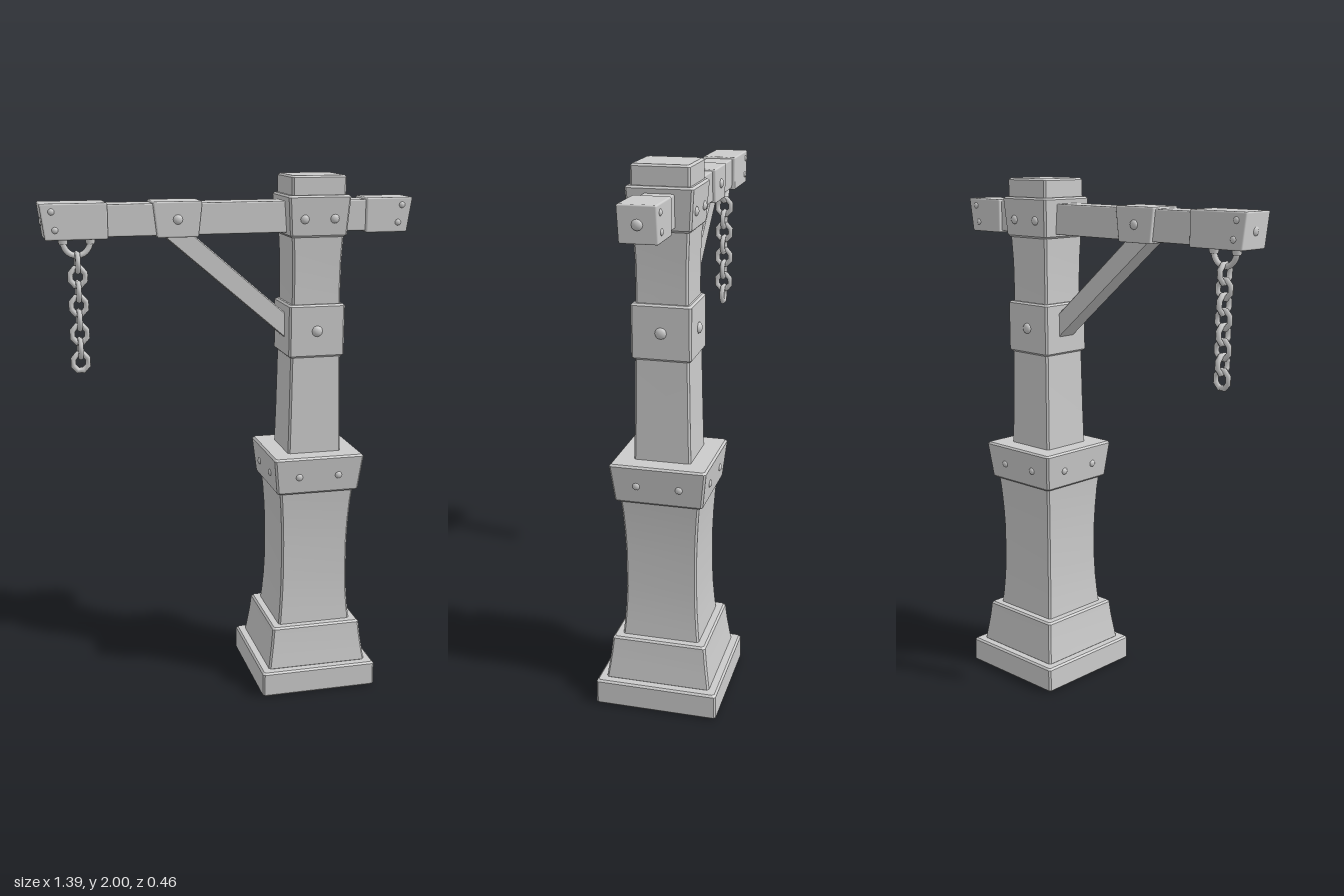
import * as THREE from 'three';
import { toCreasedNormals } from 'three/addons/utils/BufferGeometryUtils.js';
import { RoundedBoxGeometry } from 'three/addons/geometries/RoundedBoxGeometry.js';

const POST_X = 0.314, BEAM_Y = 1.85;
const material = new THREE.MeshStandardMaterial({ color: 0xcccccc });

function add(parent, name, geometry, x = 0, y = 0, z = 0) {
  const mesh = new THREE.Mesh(geometry, material);
  mesh.name = name;
  mesh.position.set(x, y, z);
  parent.add(mesh);
  return mesh;
}

// Square block with chamfered edges; levels are [half width, height], bottom to top
function squareLoft(levels, c = 0.007) {
  const [b, t] = [levels[0], levels[levels.length - 1]];
  const profile = [[0, b[1]], [b[0] - c, b[1]], [b[0], b[1] + c], ...levels.slice(1, -1),
    [t[0], t[1] - c], [t[0] - c, t[1]], [0, t[1]]];
  const geo = new THREE.LatheGeometry(profile.map(([r, y]) => new THREE.Vector2(r, y)), 8);
  const pos = geo.attributes.position;
  for (let v = 0; v < pos.count; v++) {
    const ring = Math.floor(v / profile.length) % 8;
    const h = profile[v % profile.length][0], k = Math.max(0, h - c);
    const corners = [[k, h], [h, k], [h, -k], [k, -h], [-k, -h], [-h, -k], [-h, k], [-k, h]];
    pos.setX(v, corners[ring][0]);
    pos.setZ(v, corners[ring][1]);
  }
  return toCreasedNormals(geo, 0.5);
}

// Beam sleeve from x0 to x1; its ends move inward at the bottom by slant0 and slant1
function sleeve(x0, x1, slant0, slant1) {
  const w = x1 - x0, h = 0.128;
  const geo = new RoundedBoxGeometry(w, h, 0.132, 2, 0.006);
  const pos = geo.attributes.position;
  for (let i = 0; i < pos.count; i++) {
    const down = 0.5 - pos.getY(i) / h, x = pos.getX(i);
    pos.setX(i, x + down * (x < 0 ? slant0 : -slant1));
  }
  geo.translate((x0 + x1) / 2, BEAM_Y, 0);
  return geo;
}

// Domed rivet facing along the given direction
function rivet(parent, x, y, z, r, nx, nz) {
  const geo = new THREE.SphereGeometry(r, 12, 5, 0, Math.PI * 2, 0, Math.PI / 2);
  geo.scale(1, 0.65, 1);
  const mesh = add(parent, 'rivet', geo, x, y, z);
  mesh.quaternion.setFromUnitVectors(new THREE.Vector3(0, 1, 0), new THREE.Vector3(nx, 0, nz));
}

export function createModel() {
  const model = new THREE.Group();
  model.name = 'hangingPost';

  // Column, stacked from the ground up
  const column = new THREE.Group();
  column.name = 'column';
  column.position.x = POST_X;
  model.add(column);
  const blocks = {
    baseSlab: [[0.23, 0], [0.229, 0.1]],
    plinth: [[0.197, 0.095], [0.19, 0.15], [0.183, 0.2], [0.177, 0.265]],
    pedestal: [[0.146, 0.25], [0.141, 0.31], [0.136, 0.38], [0.133, 0.46], [0.133, 0.6],
      [0.136, 0.68], [0.141, 0.76], [0.147, 0.83]],
    collar: [[0.162, 0.81], [0.177, 0.957]],
    post: [[0.105, 0.93], [0.101, 1.1], [0.097, 1.34], [0.093, 1.56], [0.094, 1.68], [0.099, 1.8]],
    middleBand: [[0.108, 1.33], [0.108, 1.53]],
    upperBand: [[0.108, 1.778], [0.118, 1.93]],
    postCap: [[0.103, 1.9], [0.103, 2]],
  };
  for (const [name, levels] of Object.entries(blocks)) add(column, name, squareLoft(levels));

  // Column rivets
  for (const [nx, nz] of [[0, 1], [0, -1], [1, 0], [-1, 0]]) {
    for (const s of [-0.078, 0.078]) {
      rivet(column, nx * 0.168 + nz * s, 0.88, nz * 0.168 + nx * s, 0.014, nx, nz);
    }
    if (nx !== -1) rivet(column, nx * 0.107, 1.43, nz * 0.107, 0.021, nx, nz);
    if (nz) for (const s of [-0.057, 0.057]) rivet(column, s, 1.845, nz * 0.111, 0.017, 0, nz);
  }

  // Beam with its sleeves
  const beam = new THREE.Group();
  beam.name = 'beam';
  model.add(beam);
  add(beam, 'beamBar', new RoundedBoxGeometry(1.3, 0.114, 0.106, 2, 0.005), 0, BEAM_Y, 0);
  add(beam, 'leftwardEndCap', sleeve(0.51, 0.69, 0, 0.02));
  add(beam, 'rightwardEndCap', sleeve(-0.695, -0.455, 0.017, 0));
  add(beam, 'braceSleeve', sleeve(-0.293, -0.112, 0.015, 0.015));
  for (const s of [1, -1]) {
    rivet(beam, -0.203, BEAM_Y, s * 0.065, 0.018, 0, s);
    rivet(beam, s * 0.68, BEAM_Y, 0, 0.019, s, 0);
    for (const [x, y] of [[-0.653, 1.886], [-0.642, 1.822], [0.648, 1.886], [0.634, 1.822]]) {
      rivet(beam, x, y, s * 0.065, 0.012, 0, s);
    }
  }

  // Diagonal brace
  const outline = new THREE.Shape([[-0.262, 1.8], [0.23, 1.38], [0.23, 1.474], [-0.15, 1.8]]
    .map(([x, y]) => new THREE.Vector2(x, y)));
  const brace = new THREE.ExtrudeGeometry(outline,
    { depth: 0.07, bevelThickness: 0.004, bevelSize: 0.004, bevelOffset: -0.004, bevelSegments: 1 });
  add(model, 'brace', brace, 0, 0, -0.035);

  // Shackle and hanging chain
  const chain = new THREE.Group();
  chain.name = 'chain';
  chain.position.x = -0.561;
  model.add(chain);
  const bend = new THREE.CatmullRomCurve3([[-0.049, 1.79], [-0.047, 1.76], [-0.028, 1.733],
    [0, 1.724], [0.028, 1.733], [0.047, 1.76], [0.049, 1.79]]
    .map(([x, y]) => new THREE.Vector3(x, y, 0)));
  add(chain, 'shackle', new THREE.TubeGeometry(bend, 16, 0.011, 8));
  for (const s of [-1, 1]) {
    add(chain, 'shackleFoot', new THREE.CylinderGeometry(0.019, 0.016, 0.024, 10), s * 0.049, 1.777, 0);
  }
  const link = new THREE.TorusGeometry(0.029, 0.0105, 6, 8);
  link.rotateZ(Math.PI / 8);
  link.scale(1, 1.14, 1);
  for (let i = 0; i < 8; i++) {
    add(chain, 'chainLink', link, 0, 1.7 - i * 0.0523, 0).rotation.y = i % 2 ? 0 : Math.PI / 2;
  }
  return model;
}
